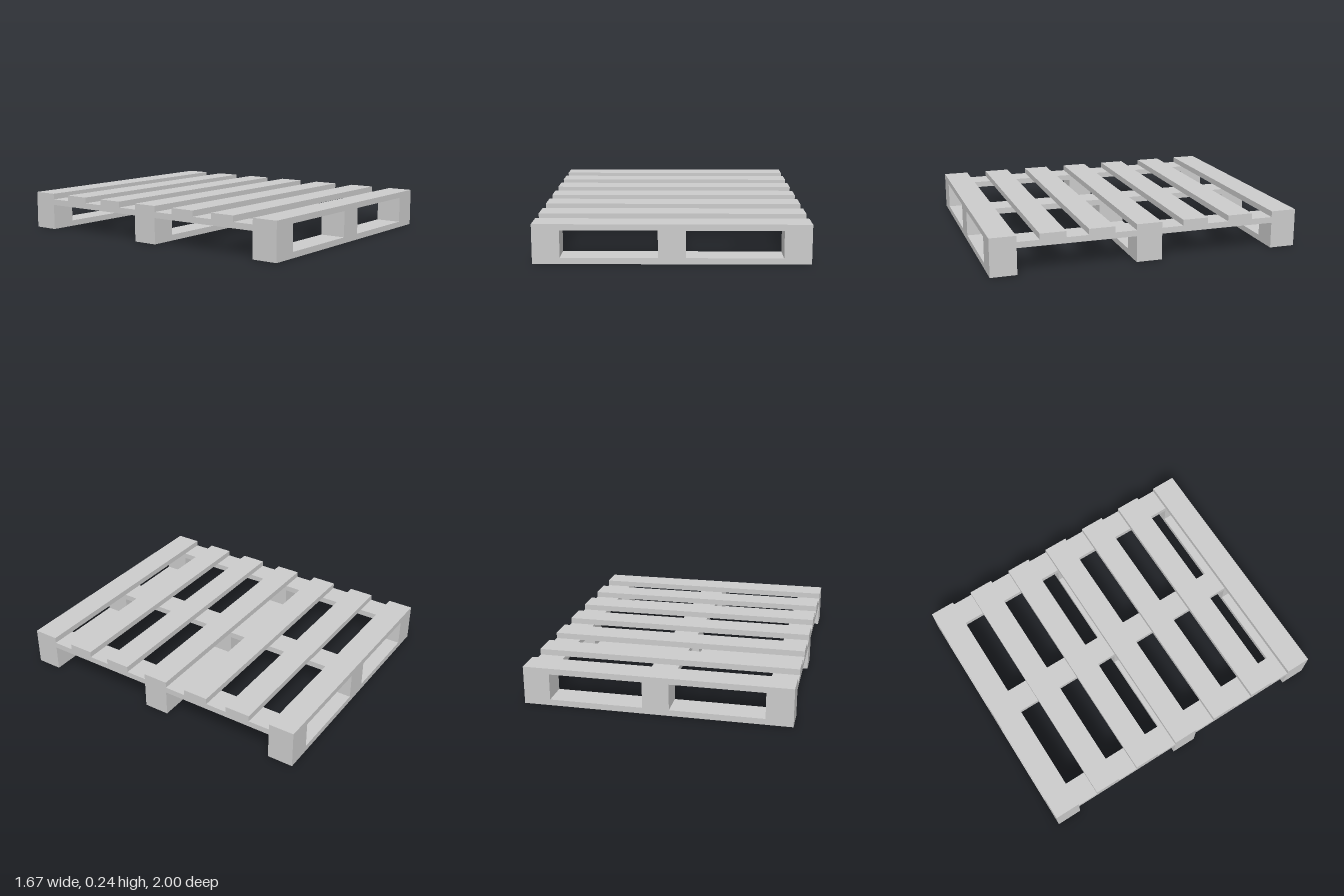
import * as THREE from 'three';

const W = 1.666;      // overall width (x)
const L = 2;          // overall length (z)
const PLANK = 0.166;  // plank and block width
const T = 0.038;      // plank thickness
const H = 0.243;      // overall height

export function createModel() {
  const pallet = new THREE.Group();
  pallet.name = 'pallet';
  const material = new THREE.MeshStandardMaterial({ color: 0xcccccc, flatShading: true });

  // Box resting on height y, centred on x and z
  const addBox = (name, w, h, d, x, y, z) => {
    const mesh = new THREE.Mesh(new THREE.BoxGeometry(w, h, d), material);
    mesh.name = name;
    mesh.position.set(x, y + h / 2, z);
    pallet.add(mesh);
  };

  const xEdge = (W - PLANK) / 2;
  const zEdge = (L - PLANK) / 2;
  const blockHeight = H - 3 * T;

  // Seven evenly spaced deck planks across the top
  for (let i = -3; i <= 3; i++) {
    addBox('deckPlank', W, T, PLANK, 0, H - T, (i / 3) * zEdge);
  }

  for (const i of [-1, 0, 1]) {
    // Lengthwise stringer under the deck, and crosswise bottom runner
    addBox('stringer', PLANK, T, L, i * xEdge, H - 2 * T, 0);
    addBox('bottomRunner', W, T, PLANK, 0, 0, i * zEdge);

    // Spacer blocks between runners and stringers
    for (const k of [-1, 0, 1]) {
      addBox('spacerBlock', PLANK, blockHeight, PLANK, i * xEdge, T, k * zEdge);
    }
  }

  return pallet;
}
